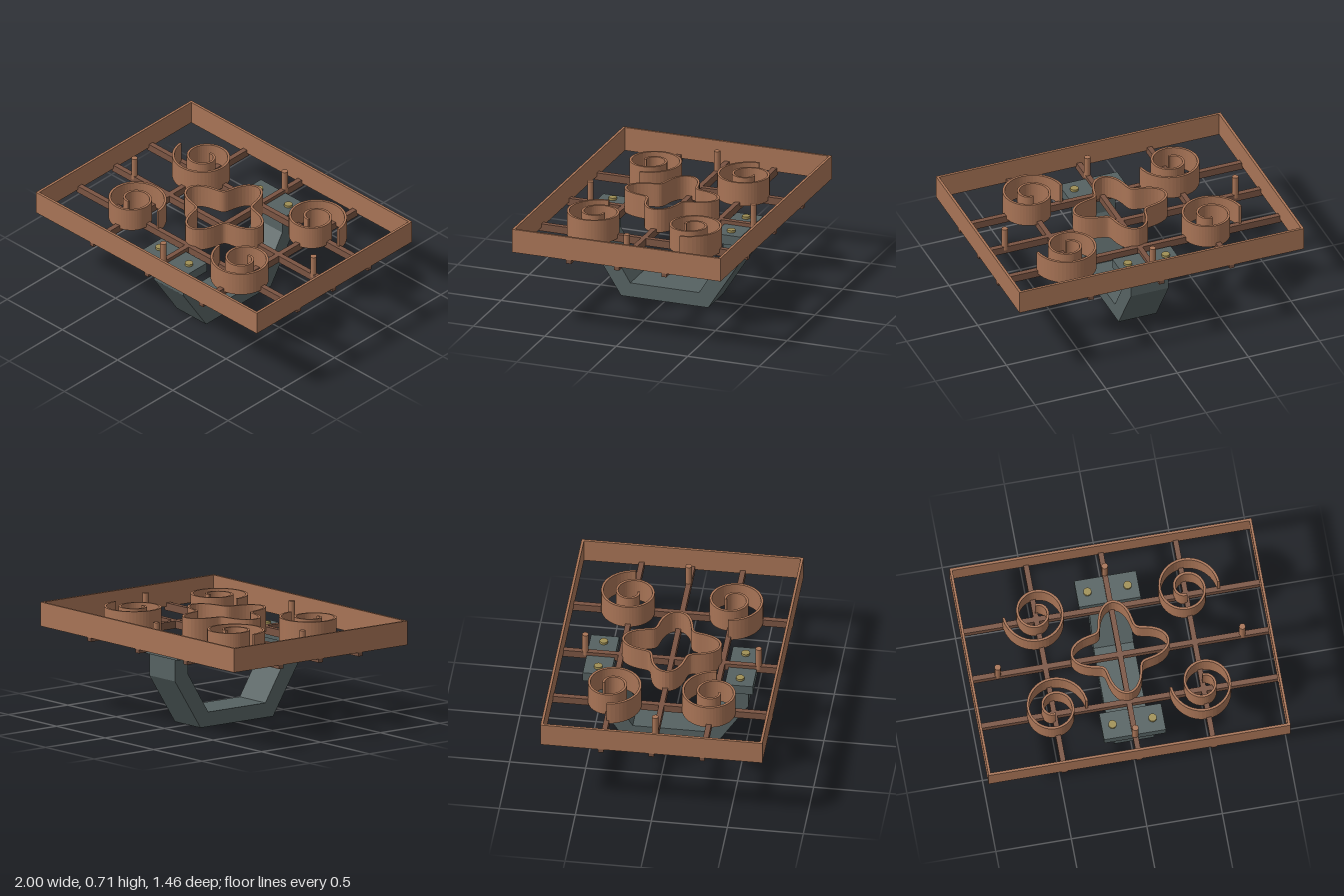
import * as THREE from 'three';

const mat = (color) => new THREE.MeshStandardMaterial({ color });
const BASE = 0.555, TOP = 0.715, WALL = 0.016;

export function createModel() {
  const model = new THREE.Group();
  const copper = mat(0xa87456), darkCopper = mat(0x7a5442);
  const slate = mat(0x566262), brass = mat(0xa09055);

  const add = (name, geometry, material, x = 0, y = 0, z = 0) => {
    const mesh = new THREE.Mesh(geometry, material);
    mesh.name = name;
    mesh.position.set(x, y, z);
    model.add(mesh);
    return mesh;
  };
  const box = (name, material, w, h, d, x, y, z) =>
    add(name, new THREE.BoxGeometry(w, h, d), material, x, y, z);

  // Upright extrusion of a plan shape drawn in (x, z)
  const wall = (shape) => {
    const g = new THREE.ExtrudeGeometry(shape, { depth: TOP - BASE, bevelEnabled: false, curveSegments: 1 });
    return g.rotateX(Math.PI / 2).translate(0, TOP, 0);
  };

  // Rectangular rim
  const rim = new THREE.Shape([[-1, -0.73], [1, -0.73], [1, 0.73], [-1, 0.73]].map((p) => new THREE.Vector2(...p)));
  const t = 0.017;
  rim.holes.push(new THREE.Path([[-1 + t, -0.73 + t], [-1 + t, 0.73 - t], [1 - t, 0.73 - t], [1 - t, -0.73 + t]]
    .map((p) => new THREE.Vector2(...p))));
  add('rim', wall(rim), copper);

  // Grid of bars under the rim
  for (const i of [-1, 0, 1]) {
    box('longBar', darkCopper, 1.998, 0.05, 0.035, 0, BASE, i * 0.333);
    box('crossBar', darkCopper, 0.035, 0.05, 1.458, i * 0.495, BASE, 0);
  }

  // Spiral scrolls: one wall, outlined along its outer then its inner side
  const scrollShape = () => {
    const n = 90, turns = 1.75, outer = [], inner = [];
    for (let i = 0; i <= n; i++) {
      const u = (i / n) * turns;
      const r = 0.048 + 0.0965 * u;
      const a = (u - turns) * Math.PI * 2;
      const at = (q) => new THREE.Vector2(Math.cos(a) * q, Math.sin(a) * q);
      outer.push(at(r + WALL / 2));
      inner.push(at(r - WALL / 2));
    }
    return new THREE.Shape([...outer, ...inner.reverse()]);
  };
  const scroll = wall(scrollShape());
  for (const sx of [-1, 1]) for (const sz of [-1, 1]) {
    const m = add('scroll', scroll, copper, sx * 0.495, 0, sz * 0.333);
    m.rotation.y = sx * sz > 0 ? Math.PI : 0;
  }

  // Four-lobed centre ring, offset along its normals for an even wall
  const lobes = (offset) => {
    const pts = [];
    for (let i = 0; i < 96; i++) {
      const a = (i / 96) * Math.PI * 2;
      const r = 0.25 + 0.07 * Math.cos(4 * a), dr = -0.28 * Math.sin(4 * a);
      const c = Math.cos(a), s = Math.sin(a);
      const normal = new THREE.Vector2(dr * s + r * c, r * s - dr * c).normalize();
      pts.push(new THREE.Vector2(r * c, r * s).addScaledVector(normal, offset));
    }
    return pts;
  };
  const ring = new THREE.Shape(lobes(WALL / 2));
  ring.holes.push(new THREE.Path(lobes(-WALL / 2)));
  add('lobedRing', wall(ring), copper);

  // Upright pins on the middle bars
  const pin = new THREE.CylinderGeometry(0.021, 0.021, TOP - BASE, 12);
  for (const s of [-1, 1]) {
    add('pin', pin, copper, s * 0.81, (TOP + BASE) / 2, 0);
    add('pin', pin, copper, 0, (TOP + BASE) / 2, s * 0.57);
  }

  // Bent handle bracket, extruded across x
  const half = [[0.305, 0], [0.52, 0.335], [0.52, 0.5], [0.41, 0.5], [0.41, 0.37], [0.24, 0.097]];
  const profile = [...half, ...half.map(([z, y]) => [-z, y]).reverse()];
  const handle = new THREE.ExtrudeGeometry(
    new THREE.Shape(profile.map((p) => new THREE.Vector2(...p))), { depth: 0.265, bevelEnabled: false });
  add('handle', handle.translate(0, 0, -0.1325).rotateY(-Math.PI / 2), slate);

  // Mounting pads with bolts
  const bolt = new THREE.CylinderGeometry(0.027, 0.027, 0.03, 16);
  for (const s of [-1, 1]) {
    box('mountingPad', slate, 0.41, 0.066, 0.185, 0, 0.522, s * 0.467);
    for (const x of [-0.133, 0.133]) add('bolt', bolt, brass, x, 0.556, s * 0.467);
  }
  return model;
}
